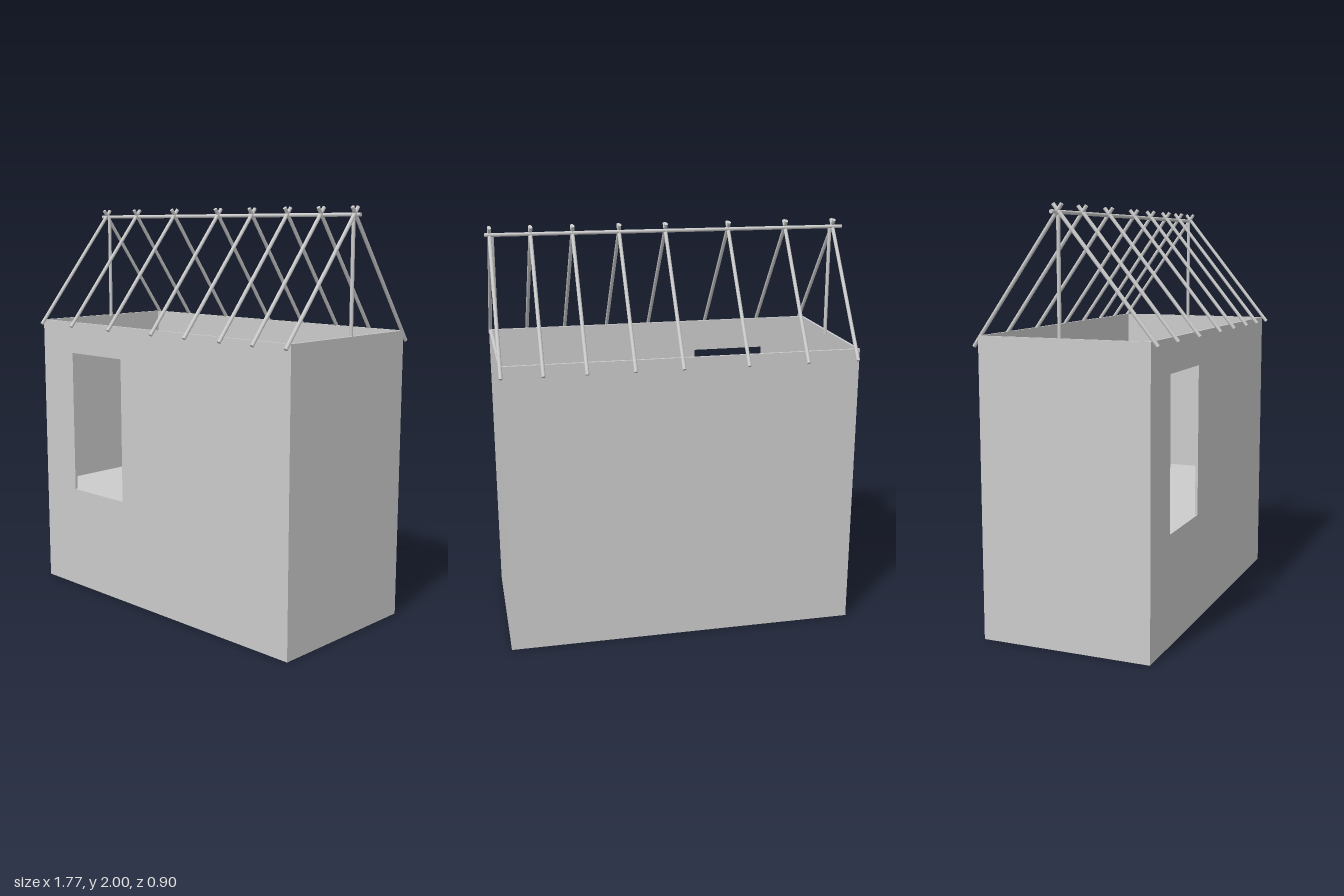
import * as THREE from 'three';

const X0 = -0.858, X1 = 0.862, Z0 = -0.412, Z1 = 0.418; // wall outline
const FLOOR = 0.527, TOP = 1.418, T = 0.013;            // heights, wall thickness
const BASE = FLOOR - T;
const W = X1 - X0, D = Z1 - Z0, CX = (X0 + X1) / 2, CZ = (Z0 + Z1) / 2;

export function createModel() {
  const model = new THREE.Group();
  model.name = 'house';
  const mat = new THREE.MeshStandardMaterial({ color: 0xcccccc });
  const thin = new THREE.MeshStandardMaterial({ color: 0xcccccc, side: THREE.DoubleSide });

  const add = (name, geometry, x, y, z, material = mat) => {
    const mesh = new THREE.Mesh(geometry, material);
    mesh.name = name;
    mesh.position.set(x, y, z);
    model.add(mesh);
    return mesh;
  };

  // Round pole between two points
  const pole = (name, a, b, r = 0.009) => {
    const from = new THREE.Vector3(...a), to = new THREE.Vector3(...b);
    const dir = to.clone().sub(from);
    const mid = from.add(to).multiplyScalar(0.5);
    const mesh = add(name, new THREE.CylinderGeometry(r, r, dir.length(), 12), mid.x, mid.y, mid.z);
    mesh.quaternion.setFromUnitVectors(new THREE.Vector3(0, 1, 0), dir.normalize());
  };

  // Front wall with the window opening
  const wall = new THREE.Shape([[X0, BASE], [X1, BASE], [X1, TOP], [X0, TOP]].map(p => new THREE.Vector2(...p)));
  wall.holes.push(new THREE.Path(
    [[-0.619, 0.528], [-0.619, 1.257], [-0.238, 1.257], [-0.238, 0.528]].map(p => new THREE.Vector2(...p))));
  add('frontWall', new THREE.ExtrudeGeometry(wall, { depth: T, bevelEnabled: false }), 0, 0, Z1 - T);

  // Back and end walls
  const h = TOP - BASE, midY = (TOP + BASE) / 2;
  add('backWall', new THREE.BoxGeometry(W, h, T), CX, midY, Z0 + T / 2);
  add('leftWall', new THREE.BoxGeometry(T, h, D - 2 * T), X1 - T / 2, midY, CZ);
  add('rightWall', new THREE.BoxGeometry(T, h, D - 2 * T), X0 + T / 2, midY, CZ);

  // Raised floor
  add('floor', new THREE.BoxGeometry(W - 2 * T, T, D - 2 * T), CX, FLOOR - T / 2, CZ);

  // Thin skirt below the floor, open at the bottom
  const skirt = (name, width, x, z, turn) => {
    add(name, new THREE.PlaneGeometry(width, BASE), x, BASE / 2, z, thin).rotation.y = turn;
  };
  skirt('frontSkirt', W, CX, Z1, 0);
  skirt('backSkirt', W, CX, Z0, Math.PI);
  skirt('leftSkirt', D, X1, CZ, Math.PI / 2);
  skirt('rightSkirt', D, X0, CZ, -Math.PI / 2);

  // Ridge pole and the posts that carry it on the end walls
  const ridgeZ = -0.026;
  pole('ridgePole', [-0.886, 1.958, ridgeZ], [0.88, 1.958, ridgeZ]);
  for (const x of [-0.825, 0.844]) pole('gablePost', [x, 1.412, -0.022], [x, 1.965, -0.022]);

  // Crossed rafter pairs
  for (const x of [-0.84, -0.592, -0.3, 0.014, 0.241, 0.465, 0.664, 0.855]) {
    pole('frontRafter', [x, 1.396, 0.445], [x, 1.992, -0.039]);
    pole('backRafter', [x, 1.368, -0.443], [x, 1.992, 0.003]);
  }
  return model;
}
